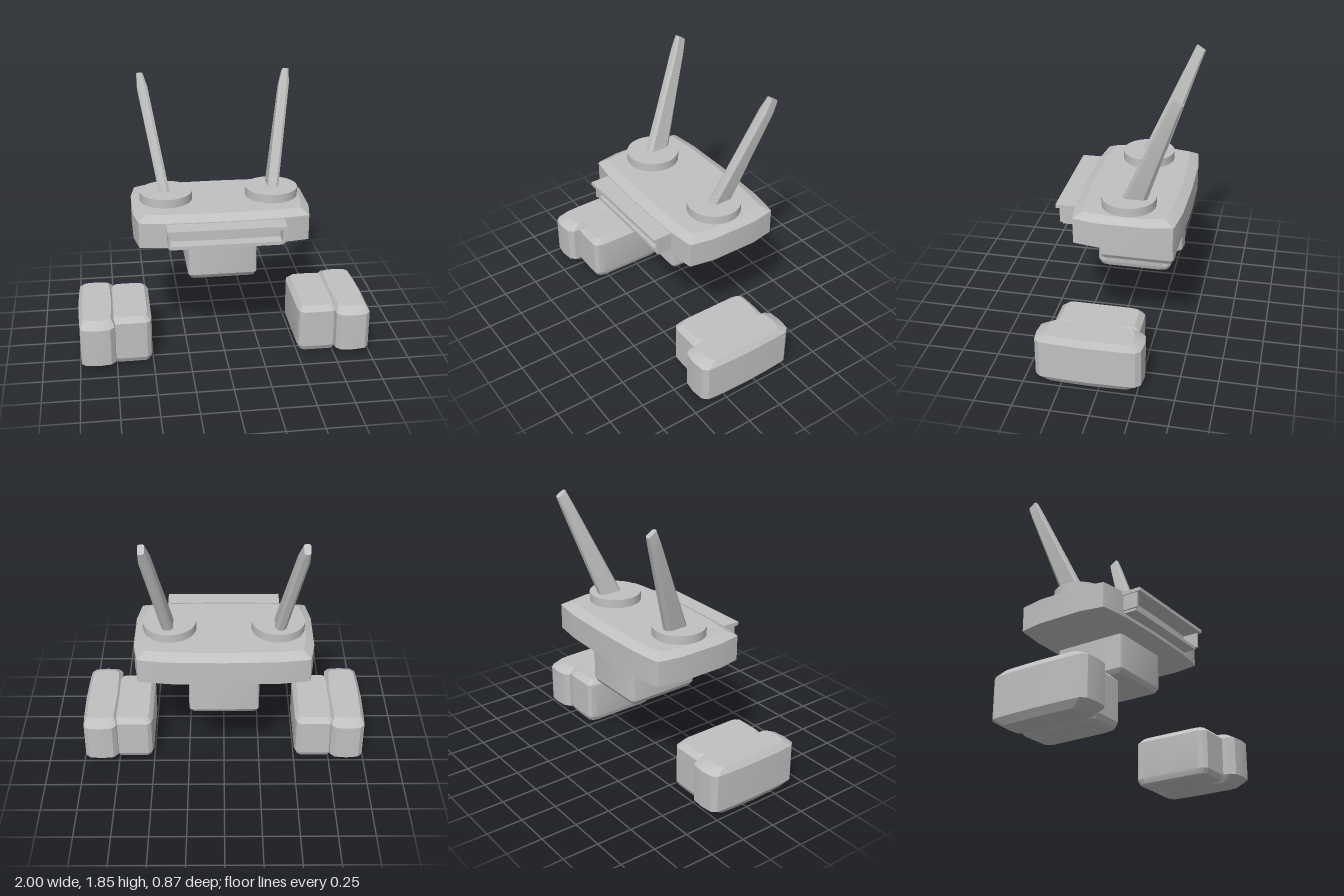
import * as THREE from 'three';
import { toCreasedNormals } from 'three/addons/utils/BufferGeometryUtils.js';

const casing = new THREE.MeshStandardMaterial({ color: 0xc0c0c0 });
casing.name = 'light grey casing';

// Skin a stack of rings (counter-clockwise from above, bottom ring first) and cap both ends.
function loft(rings, crease = 0.4) {
  const pos = [];
  const tri = (a, b, c) => pos.push(...a, ...b, ...c);
  const n = rings[0].length;
  const middle = (ring) => [0, 1, 2].map((k) => ring.reduce((s, p) => s + p[k], 0) / n);
  const low = rings[0], high = rings[rings.length - 1];
  const lowMid = middle(low), highMid = middle(high);
  for (let j = 0; j < n; j++) {
    const k = (j + 1) % n;
    for (let i = 0; i < rings.length - 1; i++) {
      const a = rings[i], b = rings[i + 1];
      tri(a[j], a[k], b[k]);
      tri(a[j], b[k], b[j]);
    }
    tri(lowMid, low[k], low[j]);
    tri(highMid, high[j], high[k]);
  }
  const g = new THREE.BufferGeometry();
  g.setAttribute('position', new THREE.Float32BufferAttribute(pos, 3));
  return toCreasedNormals(g, crease);
}

// Complete a quarter outline (from the +x side to the z end) into a symmetric one.
function outline(q) {
  const back = q.map(([x, z]) => [x, -z]);
  const left = q.slice().reverse().map(([x, z]) => [-x, -z]);
  const front = q.map(([x, z]) => [-x, z]);
  const right = q.slice().reverse();
  return [...back, ...left, ...front, ...right]
    .filter((p, i, all) => !i || Math.hypot(p[0] - all[i - 1][0], p[1] - all[i - 1][1]) > 1e-6);
}

// Block with a bulging plan; each level is [y, x scale, z scale].
function block(q, levels, cx, cz) {
  const plan = outline(q);
  return loft(levels.map(([y, sx, sz]) => plan.map(([x, z]) => [cx + x * sx, y, cz + z * sz])));
}

// Chamfered cross-section of an antenna, running from the front edge to the back edge.
function bladeRing(x0, x1, yFront, zFront, yBack, zBack) {
  const at = (u, v) => [
    x0 + (x1 - x0) * u,
    yBack + (yFront - yBack) * v,
    zBack + (zFront - zBack) * v,
  ];
  return [at(1, 0.15), at(0.75, 0), at(0.25, 0), at(0, 0.15),
    at(0, 0.88), at(0.25, 1), at(0.75, 1), at(1, 0.88)];
}

export function createModel() {
  const model = new THREE.Group();
  model.name = 'remoteController';
  const add = (name, geometry) => {
    const mesh = new THREE.Mesh(geometry, casing);
    mesh.name = name;
    model.add(mesh);
    return mesh;
  };
  const box = (name, x0, x1, y0, y1, z0, z1) =>
    add(name, new THREE.BoxGeometry(x1 - x0, y1 - y0, z1 - z0))
      .position.set((x0 + x1) / 2, (y0 + y1) / 2, (z0 + z1) / 2);

  // Main body
  add('body', block(
    [[0.6, 0.16], [0.57, 0.325], [0.55, 0.332], [0.36, 0.357], [0, 0.365]],
    [[0.8, 0.86, 0.8], [0.83, 1, 1], [1.005, 1, 1], [1.04, 0.91, 0.82]], 0, -0.075));

  // Lower housing with rounded bottom edge
  add('lowerHousing', block(
    [[0.237, 0.235], [0.23, 0.252], [0.21, 0.26]],
    [[0.52, 0.84, 0.85], [0.53, 0.93, 0.93], [0.56, 1, 1], [0.83, 1, 1]], 0, -0.1));

  // Front tray: lid plate, side walls and lower bar around an open slot
  box('trayPlate', -0.393, 0.393, 0.975, 1.0, 0.22, 0.412);
  box('trayLowerBar', -0.375, 0.375, 0.853, 0.876, 0.24, 0.37);
  for (const s of [-1, 1]) {
    const x = s * 0.378;
    box('traySide', x - 0.008, x + 0.008, 0.87, 0.98, 0.24, 0.386);
  }

  for (const s of [-1, 1]) {
    const side = s > 0 ? 'left' : 'right';

    // Round antenna base
    const disc = add(side + 'AntennaBase', new THREE.CylinderGeometry(0.18, 0.18, 0.08, 48));
    disc.position.set(s * 0.365, 1.06, -0.077);

    // Tapered blade antenna leaning outwards and back
    let rings = [
      bladeRing(0.333, 0.407, 1.06, -0.022, 1.06, -0.19),
      bladeRing(0.455, 0.525, 1.76, -0.335, 1.72, -0.406),
      bladeRing(0.483, 0.526, 1.85, -0.375, 1.81, -0.437),
    ];
    if (s < 0) rings = rings.map((r) => r.map(([x, y, z]) => [-x, y, z]).reverse());
    add(side + 'Antenna', loft(rings));

    // Outer and inner pod blocks
    add(side + 'OuterPod', block(
      [[0.127, 0], [0.122, 0.2], [0.115, 0.315], [0.085, 0.348], [0, 0.358]],
      [[0.01, 0.78, 0.79], [0.055, 1, 1], [0.32, 1, 1], [0.36, 0.79, 0.8]], s * 0.873, 0.075));
    add(side + 'InnerPod', block(
      [[0.14, 0.22], [0.13, 0.262], [0.105, 0.283], [0, 0.285]],
      [[0.003, 0.78, 0.85], [0.015, 0.91, 0.94], [0.05, 1, 1], [0.315, 1, 1], [0.35, 0.8, 0.87]], s * 0.645, 0.06));
  }
  return model;
}
